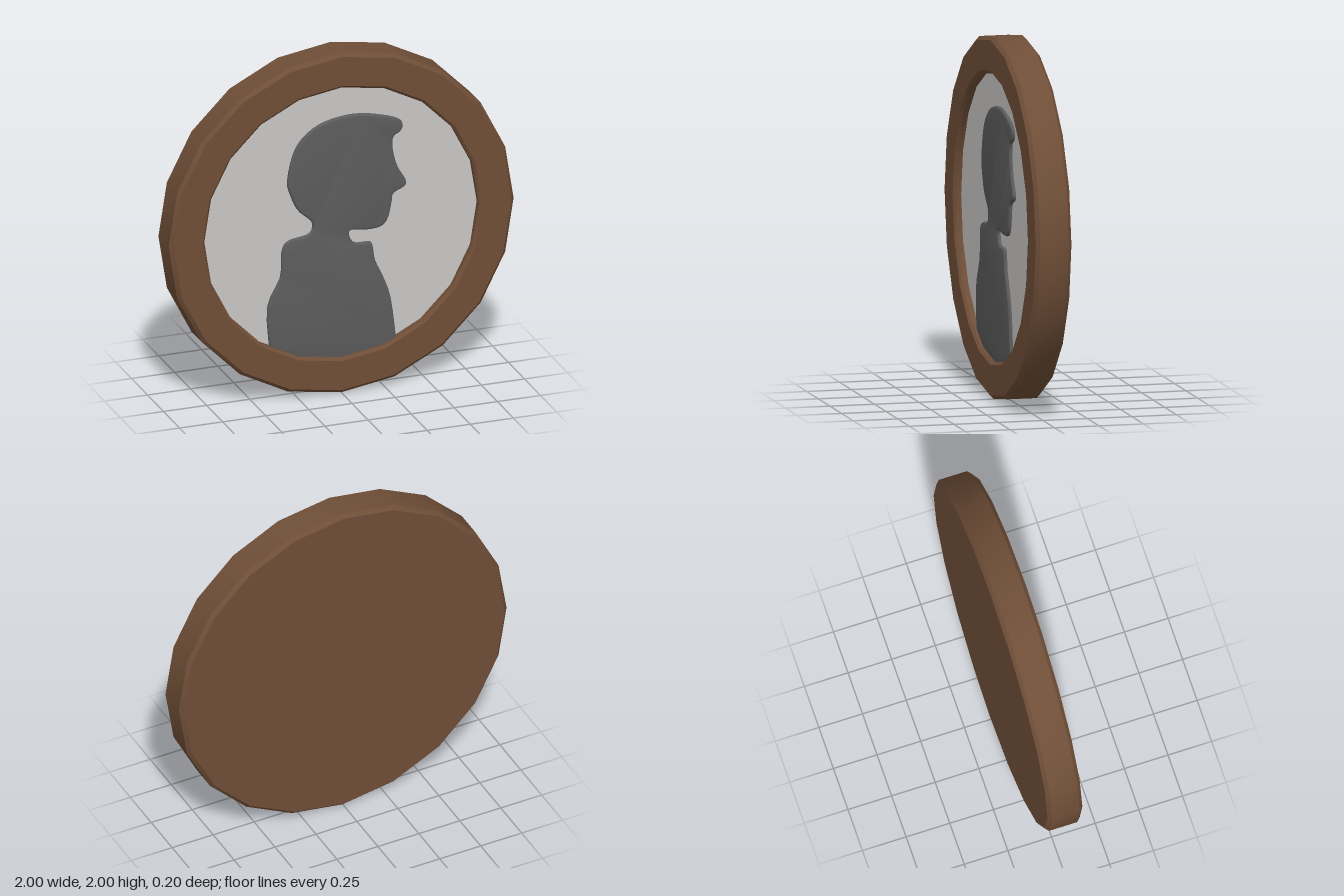
import * as THREE from 'three';
import { toCreasedNormals } from 'three/addons/utils/BufferGeometryUtils.js';

const SIDES = 20;
const PANEL_Z = 0.055;

const material = (name, color) => {
  const m = new THREE.MeshStandardMaterial({ color });
  m.name = name;
  return m;
};
const vec = ([x, y]) => new THREE.Vector2(x, y);

// Outline of the profile portrait: back of the coat, head, face, chest
const outline = [
  [-0.41, 0.32], [-0.42, 0.556], [-0.345, 0.72], [-0.337, 0.866], [-0.3, 0.925], [-0.187, 0.947],
  [-0.16, 0.984], [-0.17, 1.027], [-0.246, 1.1], [-0.29, 1.2], [-0.305, 1.273], [-0.278, 1.41],
  [-0.225, 1.508], [-0.123, 1.583], [0.01, 1.615], [0.128, 1.615], [0.25, 1.588], [0.337, 1.556],
  [0.364, 1.519], [0.348, 1.48], [0.31, 1.455], [0.305, 1.39], [0.332, 1.278], [0.38, 1.193],
  [0.374, 1.155], [0.31, 1.123], [0.3, 1.08], [0.278, 0.984], [0.235, 0.936], [0.144, 0.93],
  [0.064, 0.941], [0.053, 0.91], [0.086, 0.861], [0.171, 0.856], [0.19, 0.824], [0.203, 0.743],
  [0.25, 0.64], [0.294, 0.508], [0.326, 0.26],
];

export function createModel() {
  const wood = material('brown wood', 0x6f4e37);
  const paper = material('pale grey paper', 0xc9c7c5);
  const ink = material('dark grey', 0x5c5c5c);

  const model = new THREE.Group();
  model.name = 'framedPortrait';
  const add = (name, geometry, mat) => {
    const mesh = new THREE.Mesh(geometry, mat);
    mesh.name = name;
    model.add(mesh);
    return mesh;
  };

  // Bevelled round frame with a closed back
  const profile = [
    [0, -0.1], [0.98, -0.1], [1, -0.08], [1, 0.08], [0.98, 0.1],
    [0.81, 0.1], [0.795, 0.085], [0.795, 0.03],
  ].map(vec);
  const frame = new THREE.LatheGeometry(profile, SIDES).rotateX(Math.PI / 2);
  add('frame', toCreasedNormals(frame, 0.6), wood).position.y = 1;

  // Recessed backing panel
  add('panel', new THREE.CircleGeometry(0.8, SIDES), paper).position.set(0, 1, PANEL_Z);

  // Raised portrait, its base following the frame
  const shape = new THREE.Shape();
  shape.moveTo(...outline[0]);
  shape.splineThru(outline.slice(1).map(vec));
  for (const i of [1, 0, -1]) {
    const a = i * Math.PI / 10;
    shape.lineTo(0.81 * Math.sin(a), 1 - 0.81 * Math.cos(a));
  }
  shape.closePath();
  const portrait = new THREE.ExtrudeGeometry(shape, {
    depth: 0.018, curveSegments: 3, bevelEnabled: true,
    bevelThickness: 0.012, bevelSize: 0.012, bevelOffset: -0.012, bevelSegments: 3,
  });
  add('portrait', toCreasedNormals(portrait, 0.7), ink).position.z = PANEL_Z - 0.012;

  return model;
}
